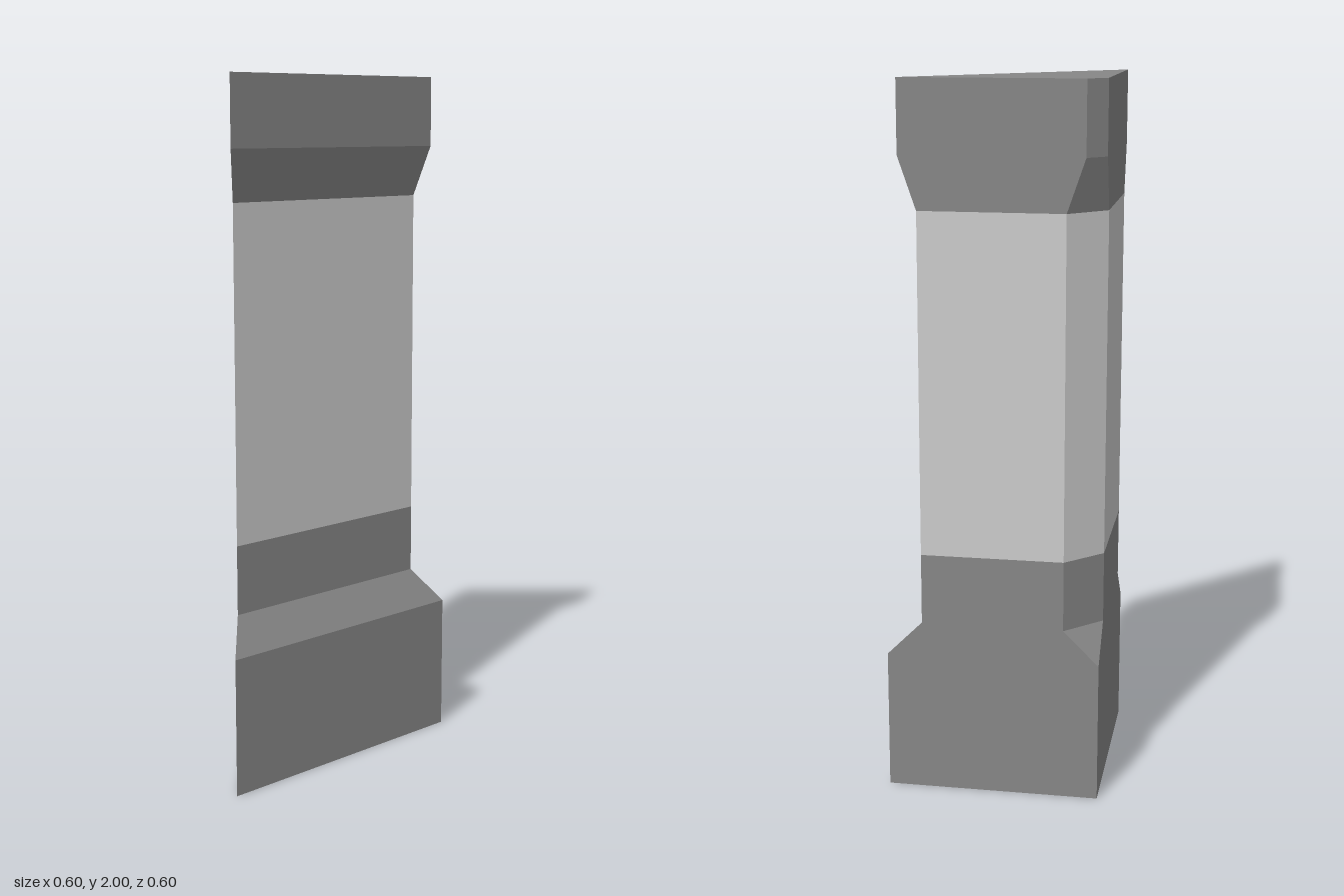
import * as THREE from 'three';

const CORNER = -0.3; // x and z of the square corner of the triangular plan

// Plan at one height: right triangle with legs of length leg, square corner cut by cut
function section([y, leg, cut]) {
  return [[0, leg], [leg, 0], [cut, 0], [0, cut]]
    .map(([x, z]) => new THREE.Vector3(CORNER + x, y, CORNER + z));
}

// Lofts [height, leg, cut] levels into a faceted column piece
function loft(name, levels, material, capBottom, capTop) {
  const points = [];
  const tri = (a, b, c) => {
    if (new THREE.Triangle(a, b, c).getArea() > 1e-6) points.push(a, b, c);
  };
  const quad = (a, b, c, d) => { tri(a, b, c); tri(a, c, d); };
  const rings = levels.map(section);
  for (let k = 0; k < rings.length - 1; k++) {
    const low = rings[k], high = rings[k + 1];
    for (let i = 0; i < 4; i++) {
      const j = (i + 1) % 4;
      quad(low[i], low[j], high[j], high[i]);
    }
  }
  if (capBottom) quad(...[...rings[0]].reverse());
  if (capTop) quad(...rings[rings.length - 1]);

  const geometry = new THREE.BufferGeometry().setFromPoints(points);
  geometry.computeVertexNormals();
  const mesh = new THREE.Mesh(geometry, material);
  mesh.name = name;
  return mesh;
}

export function createModel() {
  const group = new THREE.Group();
  group.name = 'cornerPillar';
  const light = new THREE.MeshStandardMaterial({ color: 0xcccccc, flatShading: true });
  const dark = new THREE.MeshStandardMaterial({ color: 0x878787, flatShading: true });

  group.add(
    // Wide foot, sloped shoulder and dark band under the shaft
    loft('base', [[0, 0.6, 0], [0.4, 0.6, 0], [0.5, 0.5, 0.1], [0.7, 0.5, 0.1]], dark, true, false),
    // Slim light shaft
    loft('shaft', [[0.7, 0.5, 0.1], [1.655, 0.5, 0.1]], light, false, false),
    // Flared head
    loft('capital', [[1.655, 0.5, 0.1], [1.8, 0.55, 0.05], [2, 0.55, 0.05]], dark, false, true),
  );
  return group;
}
